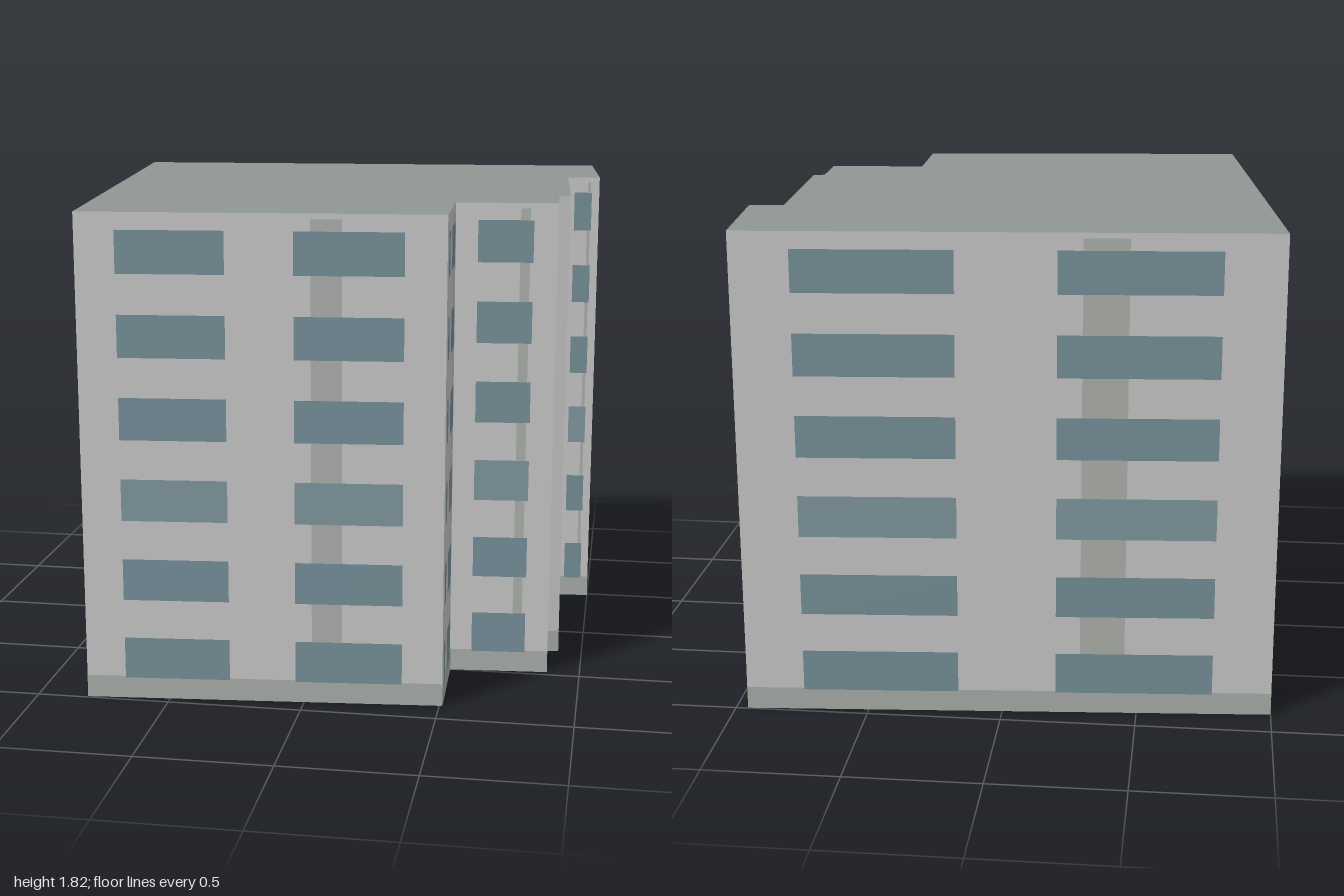
import * as THREE from 'three';
import { mergeGeometries } from 'three/addons/utils/BufferGeometryUtils.js';

const HEIGHT = 1.82, PLINTH = 0.085, FLOORS = 6, FLOOR_STEP = 0.304;
const SILL = 0.08, WINDOW_HEIGHT = 0.157;

// Window columns along a wall, as fractions of its width seen from outside
const WIDE = { windows: [[0.11, 0.405], [0.59, 0.887]], strip: [0.636, 0.72] };
const SINGLE = { windows: [[0.22, 0.765]], strip: [0.635, 0.73] };
const OFFSET = { windows: [[0.04, 0.195], [0.42, 0.81]], strip: [0.72, 0.78] };
const SIDE = { windows: [[0.13, 0.413], [0.589, 0.871]], strip: [0.634, 0.726] };

// Footprint corners [x, z] in order, with the layout of the wall that starts there
const FOOTPRINT = [
  [-0.81, 0.99, WIDE],
  [0.51, 0.875, OFFSET],
  [0.50, 0.50, SINGLE],
  [0.875, 0.47, SINGLE],
  [0.865, 0.24, null],
  [0.908, 0.23, SIDE],
  [0.87, -0.472, SINGLE],
  [1.0, -0.485, SINGLE],
  [0.955, -0.995, WIDE],
  [-1.0, -0.855, WIDE],
];

// Upright rectangle on the wall a-b, between fractions u and heights y, pushed out a little
function panel(a, b, [u0, u1], [y0, y1], out) {
  const dx = b[0] - a[0], dz = b[1] - a[1], length = Math.hypot(dx, dz);
  const g = new THREE.PlaneGeometry(length * (u1 - u0), y1 - y0);
  const u = (u0 + u1) / 2;
  g.rotateY(Math.atan2(-dz, dx));
  g.translate(
    a[0] + dx * u - (dz / length) * out,
    (y0 + y1) / 2,
    a[1] + dz * u + (dx / length) * out
  );
  return g;
}

export function createModel() {
  const building = new THREE.Group();
  building.name = 'apartmentBlock';
  const parts = { walls: [], plinth: [], wallStrips: [], windows: [], paleWindows: [] };

  FOOTPRINT.forEach((a, i) => {
    const b = FOOTPRINT[(i + 1) % FOOTPRINT.length], layout = a[2];
    parts.walls.push(panel(a, b, [0, 1], [0, HEIGHT], 0));
    parts.plinth.push(panel(a, b, [0, 1], [0, PLINTH], 0.002));
    if (!layout) return;
    parts.wallStrips.push(panel(a, b, layout.strip, [PLINTH, 1.8], 0.002));
    for (let floor = 0; floor < FLOORS; floor++) {
      const y = SILL + floor * FLOOR_STEP;
      const list = floor === 2 ? parts.paleWindows : parts.windows;
      for (const span of layout.windows) {
        list.push(panel(a, b, span, [y, y + WINDOW_HEIGHT], 0.004));
      }
    }
  });

  // Flat roof; the underside of the block stays open
  const outline = new THREE.Shape(FOOTPRINT.map(([x, z]) => new THREE.Vector2(x, -z)));
  parts.roof = [new THREE.ShapeGeometry(outline).rotateX(-Math.PI / 2).translate(0, HEIGHT, 0)];

  const colors = {
    walls: 0xc4c4c0, plinth: 0xacb2ad, wallStrips: 0xb0b4ae,
    windows: 0x78929c, paleWindows: 0x829aa2, roof: 0x8f9793,
  };
  for (const [name, list] of Object.entries(parts)) {
    const material = new THREE.MeshStandardMaterial({ color: colors[name] });
    if (name === 'walls' || name === 'roof') material.side = THREE.DoubleSide;
    const mesh = new THREE.Mesh(mergeGeometries(list), material);
    mesh.name = name;
    building.add(mesh);
  }
  return building;
}
